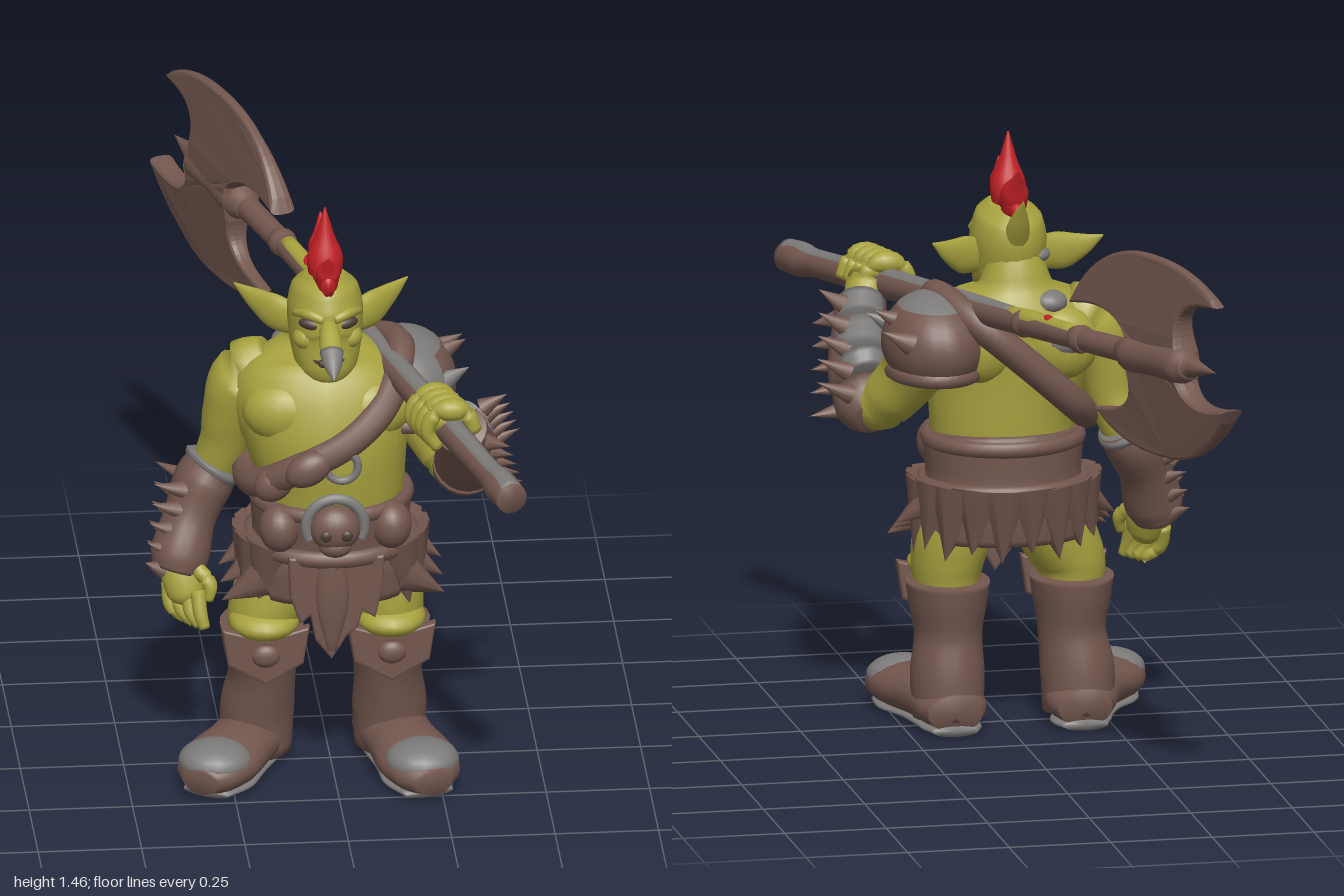
import * as THREE from 'three';

const mat = (name, color) => Object.assign(new THREE.MeshStandardMaterial({ color }), { name });
const M = {
  skin: mat('olive skin', 0xa8a23f),
  leather: mat('brown leather', 0x73574e),
  dark: mat('dark recess', 0x4a3c34),
  grey: mat('grey metal', 0x7c7a78),
  red: mat('red hair', 0xc22026),
};
M.leather.side = M.grey.side = THREE.DoubleSide;
const V = (a) => new THREE.Vector3(a[0], a[1], a[2]);
const outline = (points) => new THREE.Shape(points.map((p) => new THREE.Vector2(...p)));

// Smooth tapered body through rings [x, y, z, horizontal radius, other radius]
function loft(rings, sides = 20, steps = 5) {
  const centre = new THREE.CatmullRomCurve3(rings.map(V));
  const radii = new THREE.CatmullRomCurve3(rings.map((r) => new THREE.Vector3(r[3], r[4] ?? r[3], 0)));
  const n = (rings.length - 1) * steps, pos = [], idx = [], first = (n + 1) * sides;
  for (let i = 0; i <= n; i++) {
    const c = centre.getPoint(i / n), r = radii.getPoint(i / n), t = centre.getTangent(i / n);
    const ref = Math.abs(t.y) > 0.6 ? new THREE.Vector3(0, 0, 1) : new THREE.Vector3(0, 1, 0);
    const u = t.clone().cross(ref).normalize(), v = u.clone().cross(t);
    for (let j = 0; j < sides; j++) {
      const a = (j / sides) * Math.PI * 2, k = (j + 1) % sides, A = i * sides + j, B = i * sides + k;
      const p = c.clone().addScaledVector(u, Math.cos(a) * Math.max(r.x, 0.001)).addScaledVector(v, Math.sin(a) * Math.max(r.y, 0.001));
      pos.push(p.x, p.y, p.z);
      if (i < n) idx.push(A, A + sides, B, B, A + sides, B + sides);
      if (i === 0) idx.push(first, A, B);
      if (i === n) idx.push(first + 1, B, A);
    }
  }
  pos.push(...rings[0].slice(0, 3), ...rings[rings.length - 1].slice(0, 3));
  const g = new THREE.BufferGeometry();
  g.setAttribute('position', new THREE.Float32BufferAttribute(pos, 3));
  g.setIndex(idx);
  g.computeVertexNormals();
  return g;
}

export function createModel() {
  const root = new THREE.Group();
  const add = (name, geo, m, p = [0, 0, 0], s = [1, 1, 1], rot = [0, 0, 0]) => {
    const mesh = new THREE.Mesh(geo, m);
    mesh.name = name;
    mesh.position.set(...p);
    mesh.scale.set(...s);
    mesh.rotation.set(...rot);
    root.add(mesh);
    return mesh;
  };
  const body = (name, m, ...rings) => add(name, loft(rings), m);
  const ball = (name, m, p, s, rot) => add(name, new THREE.SphereGeometry(1, 20, 14), m, p, s, rot);
  const hoop = (name, p, s) => add(name, new THREE.TorusGeometry(1, 0.09, 8, 36), M.leather, p, s, [Math.PI / 2, 0, 0]);
  const spike = (name, m, base, tip, r) => {
    const d = V(tip).sub(V(base));
    const c = add(name, new THREE.ConeGeometry(r, d.length(), 10), m, V(base).addScaledVector(d, 0.5).toArray());
    c.quaternion.setFromUnitVectors(new THREE.Vector3(0, 1, 0), d.normalize());
  };

  // Torso, chest and neck
  body('torso', M.skin, [0, 0.5, 0.25, 0.15, 0.13], [0, 0.66, 0.26, 0.17, 0.155], [0, 0.77, 0.265, 0.18, 0.165],
    [-0.01, 0.87, 0.265, 0.2, 0.17], [-0.02, 0.97, 0.245, 0.22, 0.16], [-0.02, 1.05, 0.215, 0.18, 0.125],
    [-0.02, 1.1, 0.21, 0.09, 0.08], [-0.018, 1.16, 0.22, 0.07, 0.07]);
  for (const s of [-1, 1]) {
    ball('chestMuscle', M.skin, [-0.015 + s * 0.09, 0.955, 0.325], [0.115, 0.085, 0.078]);
    ball('shoulderBlade', M.skin, [-0.02 + s * 0.1, 0.96, 0.135], [0.09, 0.09, 0.06]);
  }
  // Worn grey patches on the back
  ball('shoulderPatch', M.grey, [-0.13, 0.97, 0.132], [0.078, 0.045, 0.064]);
  ball('shoulderPatch', M.grey, [-0.09, 1.06, 0.15], [0.045, 0.03, 0.045]);
  ball('neckPatch', M.grey, [-0.068, 1.165, 0.215], [0.038, 0.022, 0.042]);

  // Head
  body('head', M.skin, [-0.015, 1.035, 0.32, 0.045, 0.05], [-0.015, 1.065, 0.318, 0.072, 0.08],
    [-0.015, 1.13, 0.285, 0.088, 0.118], [-0.015, 1.2, 0.268, 0.092, 0.125], [-0.015, 1.255, 0.262, 0.08, 0.112],
    [-0.015, 1.285, 0.258, 0.045, 0.075]);
  body('nose', M.skin, [-0.015, 1.2, 0.365, 0.018], [-0.015, 1.18, 0.41, 0.026], [-0.015, 1.155, 0.46, 0.028, 0.024]);
  body('noseTip', M.grey, [-0.015, 1.158, 0.456, 0.029, 0.025], [-0.015, 1.138, 0.49, 0.022, 0.019], [-0.015, 1.118, 0.535, 0.002]);
  body('mouth', M.dark, [-0.065, 1.11, 0.36, 0.003], [-0.04, 1.102, 0.387, 0.005], [-0.015, 1.1, 0.397, 0.005],
    [0.01, 1.102, 0.387, 0.005], [0.035, 1.11, 0.36, 0.003]);
  for (const s of [-1, 1]) {
    const x = (d) => -0.015 + s * d;
    body('brow', M.skin, [x(0.012), 1.212, 0.388, 0.011], [x(0.045), 1.222, 0.373, 0.013], [x(0.078), 1.21, 0.325, 0.009]);
    ball('eye', M.dark, [x(0.044), 1.196, 0.37], [0.03, 0.014, 0.014], [0, s * 0.4, s * 0.12]);
    ball('cheek', M.skin, [x(0.05), 1.15, 0.34], [0.034, 0.03, 0.034]);
    body('ear', M.skin, [x(0.07), 1.16, 0.255, 0.02, 0.04], [x(0.115), 1.168, 0.225, 0.022, 0.046],
      [x(0.165), 1.19, 0.185, 0.014, 0.028], [x(0.21), 1.217, 0.155, 0.002]);
  }

  // Crest of hair
  body('hairBase', M.red, [-0.015, 1.29, 0.375, 0.015, 0.025], [-0.015, 1.298, 0.3, 0.034, 0.032],
    [-0.015, 1.295, 0.22, 0.03, 0.032], [-0.015, 1.275, 0.155, 0.012, 0.02]);
  for (const [z, tz, ty, r] of [[0.335, 0.38, 1.37, 0.028], [0.27, 0.27, 1.458, 0.044], [0.215, 0.14, 1.39, 0.034]])
    body('hairCrest', M.red, [-0.015, 1.26, z, r * 0.8, r], [-0.015, 1.32, z + (tz - z) * 0.3, r, r],
      [-0.015, (1.32 + ty) / 2, z + (tz - z) * 0.65, r * 0.5, r * 0.5], [-0.015, ty, tz, 0.002]);
  body('backHair', M.skin, [-0.015, 1.2, 0.185, 0.035], [-0.015, 1.26, 0.14, 0.025], [-0.015, 1.325, 0.09, 0.002]);

  // Right arm, hanging
  body('rightArm', M.skin, [-0.13, 1.02, 0.21, 0.06, 0.08], [-0.2, 0.985, 0.2, 0.085, 0.095], [-0.235, 0.9, 0.19, 0.07, 0.08],
    [-0.25, 0.82, 0.18, 0.06, 0.065], [-0.28, 0.73, 0.165, 0.055, 0.06], [-0.33, 0.62, 0.19, 0.045]);
  body('rightBracer', M.leather, [-0.272, 0.745, 0.155, 0.065, 0.075], [-0.3, 0.7, 0.16, 0.072, 0.085],
    [-0.335, 0.62, 0.185, 0.064, 0.072], [-0.36, 0.54, 0.215, 0.072, 0.077], [-0.372, 0.5, 0.225, 0.06, 0.07]);
  body('rightBracerRim', M.grey, [-0.271, 0.752, 0.153, 0.062, 0.072], [-0.278, 0.742, 0.155, 0.074, 0.088], [-0.286, 0.732, 0.157, 0.07, 0.082]);
  body('rightHand', M.skin, [-0.36, 0.56, 0.21, 0.04], [-0.355, 0.5, 0.24, 0.055, 0.045], [-0.35, 0.45, 0.26, 0.045, 0.04], [-0.345, 0.43, 0.265, 0.025]);
  body('rightThumb', M.skin, [-0.33, 0.52, 0.26, 0.02], [-0.295, 0.485, 0.29, 0.018], [-0.298, 0.445, 0.3, 0.01]);

  // Left arm, bent up to the handle; the bracer has a grey upper plate
  body('leftUpperArm', M.skin, [0.13, 1.02, 0.19, 0.08], [0.2, 0.96, 0.19, 0.09], [0.24, 0.87, 0.23, 0.075], [0.3, 0.79, 0.3, 0.065], [0.31, 0.83, 0.38, 0.055]);
  body('leftBracer', M.leather, [0.315, 0.765, 0.265, 0.045], [0.32, 0.785, 0.31, 0.08, 0.075], [0.32, 0.85, 0.4, 0.08, 0.08],
    [0.305, 0.93, 0.49, 0.066, 0.068], [0.29, 0.985, 0.54, 0.062, 0.062]);
  body('bracerPlate', M.grey, [0.32, 0.85, 0.335, 0.05], [0.32, 0.885, 0.38, 0.066], [0.305, 0.95, 0.472, 0.058], [0.292, 0.995, 0.525, 0.054]);
  body('leftHand', M.skin, [0.29, 0.98, 0.53, 0.045], [0.265, 1.02, 0.57, 0.055], [0.235, 1.045, 0.6, 0.055, 0.045], [0.2, 1.045, 0.61, 0.035]);

  // Fingers and bracer spikes of both arms
  for (let i = 0; i < 4; i++) {
    body('rightFinger', M.skin, [-0.39 + i * 0.022, 0.47, 0.23 + i * 0.02, 0.018], [-0.385 + i * 0.022, 0.415, 0.25 + i * 0.02, 0.017],
      [-0.345 + i * 0.012, 0.382, 0.265 + i * 0.018, 0.013]);
    const z = 0.545 + i * 0.032, x = 0.3225 * (z - 0.98) + 0.37;
    body('leftFinger', M.skin, [x + 0.055, 1.02, z, 0.018], [x + 0.03, 1.072, z, 0.02], [x - 0.035, 1.072, z, 0.02], [x - 0.06, 1.025, z, 0.018], [x - 0.035, 0.98, z, 0.014]);
  }
  for (let i = 0; i < 5; i++) for (const d of [-0.05, 0.03]) {
    const x = -0.35 - i * 0.014 + (d < 0 ? 0.015 : 0), y = 0.71 - i * 0.047, k = i * 0.045;
    spike('rightBracerSpike', M.leather, [x, y - 0.01, 0.18 + i * 0.01 + d], [x - 0.075 + i * 0.008, y + 0.015, 0.175 + i * 0.01 + d * 1.7], 0.023);
    spike('leftBracerSpike', M.leather, [0.37 - i * 0.005, 0.8 + k + d * 0.7, 0.31 + k - d], [0.457 - i * 0.012, 0.82 + k + d * 1.3, 0.3 + i * 0.05 - d], 0.024);
  }

  // Shoulder guard with grey top and front plates, rim and spikes
  const guard = (name, m, r, ...span) => add(name, new THREE.SphereGeometry(r, 24, 14, ...span), m, [0.185, 0.965, 0.19], [0.125, 0.125, 0.168]);
  guard('shoulderGuard', M.leather, 1, 0, Math.PI * 2, 0, 2.1);
  guard('shoulderGuardTop', M.grey, 1.01, 0, Math.PI * 2, 0, 0.75);
  guard('shoulderGuardFront', M.grey, 1.012, 0.3, 2.1, 0.5, 1.1);
  hoop('shoulderGuardRim', [0.185, 0.9, 0.19], [0.11, 0.145, 0.2]);
  for (const [z, y] of [[0.08, 0.99], [0.18, 1.02], [0.28, 0.99]])
    spike('shoulderSpike', z < 0.2 ? M.leather : M.grey, [0.265, y, z], [0.335, y + 0.035, z - 0.01], 0.03);

  // Chest strap, pouches and ring
  const strap = [[-0.18, 0.775, 0.35], [-0.1, 0.835, 0.42], [0.03, 0.905, 0.425], [0.12, 0.98, 0.375], [0.17, 1.07, 0.24],
    [0.1, 1.03, 0.085], [-0.03, 0.92, 0.075], [-0.15, 0.81, 0.12], [-0.2, 0.76, 0.23]];
  add('chestStrap', new THREE.TubeGeometry(new THREE.CatmullRomCurve3(strap.map(V), true), 70, 0.037, 10, true), M.leather);
  ball('strapPouch', M.leather, [-0.07, 0.85, 0.45], [0.06, 0.042, 0.035], [0, 0, 0.5]);
  ball('strapPouch', M.leather, [-0.15, 0.79, 0.395], [0.05, 0.042, 0.035], [0, 0, 0.6]);
  add('strapRing', new THREE.TorusGeometry(0.038, 0.01, 8, 24), M.grey, [0.012, 0.85, 0.442]);

  // Belt, skirt flaps and skull buckle
  body('belt', M.leather, [0, 0.73, 0.262, 0.185, 0.17], [0, 0.7, 0.26, 0.195, 0.178], [0, 0.62, 0.255, 0.19, 0.172],
    [0, 0.55, 0.25, 0.215, 0.175], [0, 0.47, 0.25, 0.215, 0.165]);
  hoop('beltTopBand', [0, 0.71, 0.258], [0.185, 0.172, 0.22]);
  hoop('beltLowBand', [0, 0.6, 0.258], [0.197, 0.176, 0.24]);
  for (let i = 0; i < 14; i++) {
    const a = -Math.PI / 2 + ((i - 6.5) / 7) * 2.35, c = Math.cos(a), s = Math.sin(a);
    spike('skirtFlap', M.leather, [c * 0.17, 0.6, 0.25 + s * 0.13], [c * 0.225, i % 2 ? 0.43 : 0.45, 0.25 + s * 0.165], 0.075);
  }
  for (const s of [-1, 1]) {
    for (let i = 0; i < 3; i++) spike('hipTuft', M.leather, [s * 0.17, 0.575 - i * 0.03, 0.21 + i * 0.06], [s * 0.27, 0.51 - i * 0.025, 0.23 + i * 0.05], 0.05);
    ball('hipPouch', M.leather, [s * 0.135, 0.67, 0.385], [0.05, 0.06, 0.055]);
    ball('skullSocket', M.dark, [-0.005 + s * 0.025, 0.685, 0.484], [0.014, 0.014, 0.008]);
  }
  add('buckleRing', new THREE.TorusGeometry(0.07, 0.014, 8, 28, Math.PI * 1.3), M.grey, [-0.005, 0.695, 0.442], [1, 1, 1], [0, 0, -0.47]);
  ball('buckleSkull', M.leather, [-0.005, 0.69, 0.445], [0.062, 0.058, 0.044]);
  ball('buckleJaw', M.leather, [-0.005, 0.645, 0.452], [0.04, 0.027, 0.03]);

  // Front cloth
  const bevel = { depth: 0.015, bevelSize: 0.007, bevelThickness: 0.008, bevelSegments: 2 };
  const cloth = outline([[-0.11, 0.6], [-0.105, 0.5], [-0.085, 0.44], [-0.06, 0.46], [-0.045, 0.39], [-0.012, 0.345], [0.02, 0.4],
    [0.045, 0.42], [0.06, 0.47], [0.09, 0.45], [0.105, 0.52], [0.11, 0.6]]);
  add('frontCloth', new THREE.ExtrudeGeometry(cloth, bevel), M.leather, [0, 0, 0.405]);
  body('clothFold', M.leather, [-0.012, 0.62, 0.42, 0.03, 0.02], [-0.01, 0.5, 0.427, 0.04, 0.018], [-0.012, 0.36, 0.423, 0.012, 0.01]);

  // Legs and boots: [side, knee x, ankle x, toe x, toe z]
  const knee = outline([[-0.1, 0.385], [-0.085, 0.3], [0, 0.25], [0.085, 0.3], [0.1, 0.385], [0.05, 0.37], [0, 0.39], [-0.05, 0.37]]);
  for (const [s, kx, ax, tx, tz] of [[-1, -0.165, -0.175, -0.295, 0.42], [1, 0.14, 0.145, 0.205, 0.46]]) {
    const foot = (t, y, ...r) => [ax + (tx - ax) * t, y, 0.22 + (tz - 0.22) * t, ...r];
    body('thigh', M.skin, [s * 0.09, 0.58, 0.24, 0.09, 0.11], [s * 0.125, 0.48, 0.25, 0.095, 0.115], [kx, 0.39, 0.255, 0.085, 0.11], [kx, 0.3, 0.24, 0.07, 0.085]);
    ball('kneeCap', M.skin, [kx, 0.392, 0.3], [0.086, 0.042, 0.095]);
    body('bootShaft', M.leather, [ax, 0.03, 0.215, 0.085, 0.1], [ax, 0.13, 0.22, 0.09, 0.1], [kx, 0.22, 0.235, 0.082, 0.1],
      [kx, 0.31, 0.24, 0.095, 0.117], [kx, 0.362, 0.24, 0.102, 0.122]);
    add('kneePlate', new THREE.ExtrudeGeometry(knee, bevel), M.leather, [kx, 0, 0.335]);
    ball('kneeStud', M.leather, [kx, 0.32, 0.355], [0.035, 0.03, 0.02]);
    body('bootFoot', M.leather, [ax, 0.055, 0.115, 0.065, 0.046], [ax, 0.062, 0.18, 0.088, 0.056], foot(0.4, 0.066, 0.088, 0.062),
      foot(0.82, 0.063, 0.1, 0.058), foot(1.16, 0.056, 0.082, 0.048), foot(1.34, 0.05, 0.045, 0.032));
    ball('toeCap', M.grey, foot(0.98, 0.079), [0.09, 0.049, 0.085]);
    body('bootSole', M.grey, [ax, 0.013, 0.115, 0.055, 0.013], [ax, 0.013, 0.18, 0.075, 0.013], foot(0.4, 0.013, 0.072, 0.013),
      foot(0.82, 0.013, 0.085, 0.013), foot(1.2, 0.013, 0.06, 0.012));
  }

  // Axe handle: x and y follow z, bending slightly towards the head
  const on = (z, r, rise = 0) => [0.37 + 0.3225 * (z - 0.98) + Math.min(0, z + 0.35) * 0.05, 0.995 + 0.0715 * (0.98 - z) + rise, z, r];
  body('axeHandle', M.leather, on(0.995, 0.038), on(0.93, 0.042), on(0.86, 0.033), on(0.5, 0.036), on(0.1, 0.033), on(-0.3, 0.028), on(-0.6, 0.03), on(-0.83, 0.026));
  body('handleTop', M.grey, on(0.99, 0.03, 0.013), on(0.93, 0.031, 0.014), on(0.86, 0.024, 0.013), on(0.5, 0.027, 0.013), on(0.1, 0.024, 0.013), on(-0.04, 0.021, 0.013));
  body('handleWrap', M.skin, on(-0.04, 0.023, 0.01), on(-0.18, 0.023, 0.01), on(-0.33, 0.022, 0.01));
  ball('handleMark', M.red, on(-0.21, 0, 0.024), [0.013, 0.012, 0.032]);
  for (const z of [-0.1, -0.36]) body('handleBinding', M.leather, on(z + 0.02, 0.03), on(z, 0.035), on(z - 0.02, 0.03));
  body('axeSocket', M.leather, on(-0.54, 0.03), on(-0.59, 0.048), on(-0.68, 0.044), on(-0.78, 0.048), on(-0.82, 0.03));
  spike('axeTip', M.leather, on(-0.8), on(-0.93), 0.032);

  // Double axe blade: distance back along the handle against height, thickest at the middle
  const blade = new THREE.Shape().moveTo(0.36, 1.185);
  for (const [cx, cy, x, y] of [[0.456, 1.36, 0.72, 1.355], [0.87, 1.355, 0.98, 1.295], [0.775, 1.29, 0.837, 1.15], [0.837, 1.11, 0.837, 1.08],
    [0.88, 1, 1.044, 1.045], [0.933, 0.875, 0.71, 0.88], [0.562, 0.875, 0.456, 0.935], [0.647, 0.95, 0.615, 1.06], [0.615, 1.1, 0.615, 1.15],
    [0.53, 1.23, 0.36, 1.185]]) blade.quadraticCurveTo(cx, cy, x, y);
  const bladeGeo = new THREE.ExtrudeGeometry(blade, { depth: 0.014, bevelSize: 0.008, bevelThickness: 0.012, bevelSegments: 2, curveSegments: 14 });
  const bp = bladeGeo.attributes.position;
  for (let i = 0; i < bp.count; i++) bp.setZ(i, (bp.getZ(i) - 0.007) * (0.7 + 1.4 * Math.max(0, 1 - Math.abs(bp.getY(i) - 1.12) / 0.2)));
  bladeGeo.computeVertexNormals();
  add('axeBlade', bladeGeo, M.leather, [0.06, 0, 0], [1, 1, 1], [0, Math.PI / 2 + Math.atan(0.37), 0]);
  return root;
}
